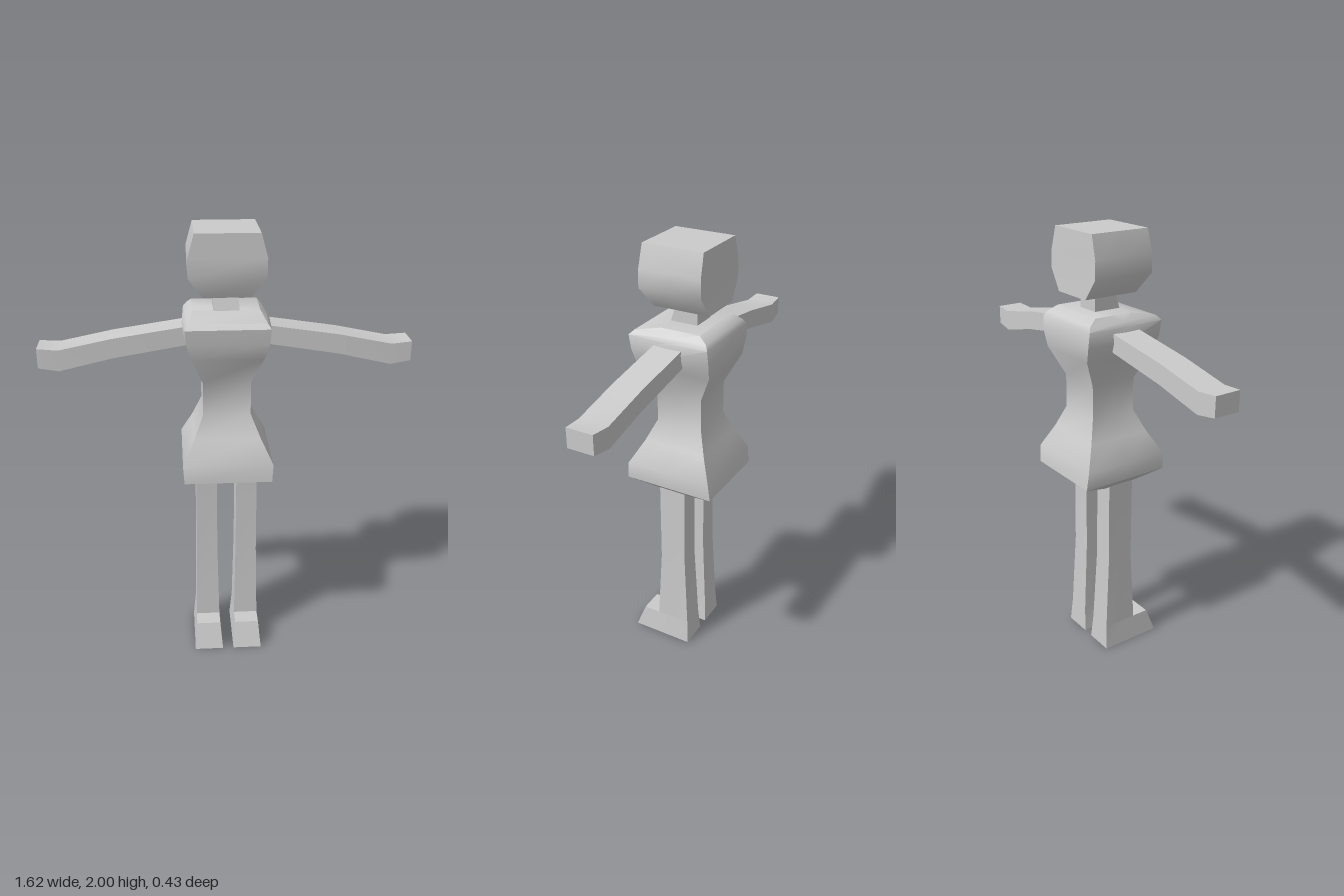
import * as THREE from 'three';
import { toCreasedNormals } from 'three/addons/utils/BufferGeometryUtils.js';

const material = new THREE.MeshStandardMaterial({ color: 0xcccccc });

// Skin a list of rings (equal point counts) and cap both ends.
function loft(name, rings) {
  const n = rings[0].length;
  const index = [];
  for (let i = 0; i < rings.length - 1; i++) {
    for (let j = 0; j < n; j++) {
      const k = (j + 1) % n;
      const a = i * n + j, b = i * n + k, c = b + n, d = a + n;
      index.push(a, b, c, a, c, d);
    }
  }
  const last = (rings.length - 1) * n;
  for (let j = 1; j < n - 1; j++) {
    index.push(0, j + 1, j, last, last + j, last + j + 1);
  }
  const geometry = new THREE.BufferGeometry();
  geometry.setAttribute('position', new THREE.Float32BufferAttribute(rings.flat(2), 3));
  geometry.setIndex(index);
  const mesh = new THREE.Mesh(toCreasedNormals(geometry, 0.7), material);
  mesh.name = name;
  return mesh;
}

// Upright body: rows of [y, half width at corners, front z, back z, half width mid-side]
function upright(name, rows) {
  return loft(name, rows.map(([y, x, f, b, m = x]) => {
    const z = (f + b) / 2;
    return [[x, y, f], [m, y, z], [x, y, b], [-x, y, b], [-m, y, z], [-x, y, f]];
  }));
}

export function createModel() {
  const model = new THREE.Group();
  model.name = 'figure';

  model.add(upright('head', [
    [1.73, 0.1, 0.11, -0.15],
    [1.82, 0.163, 0.145, -0.145],
    [1.9, 0.163, 0.143, -0.143],
    [2.0, 0.135, 0.14, -0.14],
  ]));

  model.add(upright('neck', [
    [1.62, 0.055, 0.07, -0.07],
    [1.74, 0.055, 0.03, -0.07],
  ]));

  // Torso with flared skirt, waist, chest and bevelled shoulders
  model.add(upright('torso', [
    [0.86, 0.13, 0.08, -0.07],
    [0.915, 0.195, 0.21, -0.213],
    [0.995, 0.2, 0.203, -0.205],
    [1.1, 0.147, 0.145, -0.155],
    [1.2, 0.105, 0.1, -0.118],
    [1.35, 0.105, 0.1, -0.118],
    [1.48, 0.155, 0.17, -0.18, 0.165],
    [1.55, 0.175, 0.183, -0.187, 0.192],
    [1.615, 0.18, 0.19, -0.183, 0.188],
    [1.635, 0.165, 0.17, -0.17, 0.175],
    [1.66, 0.145, 0.05, -0.13],
  ]));

  for (const side of [1, -1]) {
    // Arm rows: [x, bottom y, top y, half depth]
    const arm = loft('arm', [
      [0.14, 1.52, 1.602, 0.065],
      [0.19, 1.51, 1.592, 0.066],
      [0.49, 1.46, 1.547, 0.066],
      [0.72, 1.407, 1.5, 0.066],
      [0.81, 1.42, 1.507, 0.06],
    ].map(([x, lo, hi, z]) => [[x, lo, z], [x, lo, -z], [x, hi, -z], [x, hi, z]]));
    arm.name = side > 0 ? 'leftArm' : 'rightArm';
    if (side < 0) arm.rotation.y = Math.PI;
    model.add(arm);

    // Leg and shoe in one piece, stepping back above the toe
    const leg = upright(side > 0 ? 'leftLeg' : 'rightLeg', [
      [0, 0.067, 0.215, -0.08],
      [0.12, 0.056, 0.17, -0.073],
      [0.12, 0.056, 0.09, -0.073],
      [0.48, 0.049, 0.072, -0.055],
      [0.9, 0.047, 0.075, -0.053],
    ]);
    leg.position.x = side * 0.0925;
    model.add(leg);
  }

  return model;
}
